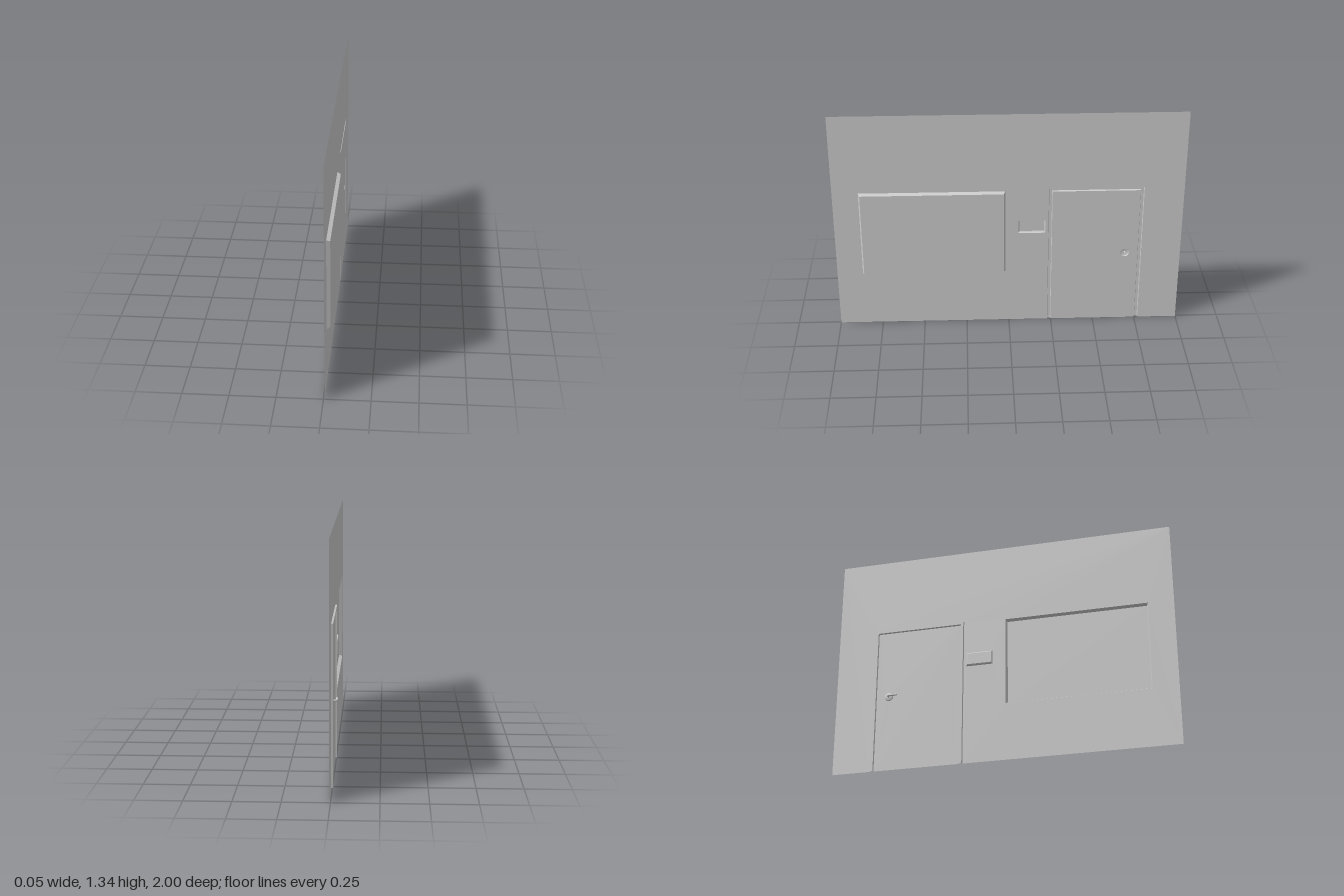
import * as THREE from 'three';

// Built in the wall's own plane: x along the wall, y up, z out of the door side.
const WALL = -0.006;
const material = new THREE.MeshStandardMaterial({ color: 0xcccccc, side: THREE.DoubleSide });

const SIGN = { x0: -0.21, x1: -0.055, y0: 0.59, y1: 0.67 };
const WINDOW = { x0: 0.02, x1: 0.852, y0: 0.338, y1: 0.863 };
const FRAME = { x0: -0.772, x1: -0.228, y1: 0.877 };
const FRAME_WIDTH = 0.021;
const HANDLE = { x: -0.676, y: 0.448, r: 0.025 };

// Skins a list of matching cross-section loops with flat faces
function loft(rows, closed) {
  const pos = [];
  for (let r = 0; r + 1 < rows.length; r++) {
    const a = rows[r], b = rows[r + 1], n = a.length;
    for (let i = 0; i < (closed ? n : n - 1); i++) {
      const j = (i + 1) % n;
      pos.push(...a[i], ...a[j], ...b[j], ...a[i], ...b[j], ...b[i]);
    }
  }
  const g = new THREE.BufferGeometry();
  g.setAttribute('position', new THREE.Float32BufferAttribute(pos, 3));
  g.computeVertexNormals();
  return g;
}

const corners = (r, inset, z) => [
  [r.x0 + inset, r.y0 + inset, z], [r.x1 - inset, r.y0 + inset, z],
  [r.x1 - inset, r.y1 - inset, z], [r.x0 + inset, r.y1 - inset, z],
];
const doorway = (inset, z) => [
  [FRAME.x0 + inset, 0, z], [FRAME.x0 + inset, FRAME.y1 - inset, z],
  [FRAME.x1 - inset, FRAME.y1 - inset, z], [FRAME.x1 - inset, 0, z],
];
const outline = (pts) => pts.map(([x, y]) => new THREE.Vector2(x, y));

function sheet(pts, holes) {
  const shape = new THREE.Shape(outline(pts));
  for (const h of holes) shape.holes.push(h);
  return new THREE.ShapeGeometry(shape, 16).translate(0, 0, WALL);
}

export function createModel() {
  const model = new THREE.Group();
  const room = new THREE.Group();
  room.name = 'wallAssembly';
  room.rotation.y = -Math.PI / 2;
  model.add(room);

  const add = (name, geometry, parent = room) => {
    const mesh = new THREE.Mesh(geometry, material);
    mesh.name = name;
    parent.add(mesh);
    return mesh;
  };

  // Thin wall cut around the doorway, window and sign
  add('wall', sheet(
    [[-1, 0], ...doorway(0, 0), [1, 0], [1, 1.337], [-1, 1.337]],
    [WINDOW, SIGN].map((r) => new THREE.Path(outline(corners(r, 0, 0)))),
  ));

  // Window recess, sunk into the far side of the wall
  const pane = corners(WINDOW, 0.009, -0.026);
  add('windowReveal', loft([corners(WINDOW, 0, WALL), pane], true));
  add('windowPane', loft([[pane[0], pane[1]], [pane[3], pane[2]]], false));

  // Raised sign plate with bevelled edge
  const plate = corners(SIGN, 0.007, 0.007);
  add('signEdge', loft([corners(SIGN, 0, WALL), corners(SIGN, 0.002, 0.004), plate], true));
  add('signPlate', loft([[plate[0], plate[1]], [plate[3], plate[2]]], false));

  // Door leaf with a hole behind the handle
  const hole = new THREE.Path();
  hole.absarc(HANDLE.x, HANDLE.y, HANDLE.r, 0, Math.PI * 2, true);
  add('door', sheet(doorway(FRAME_WIDTH, 0), [hole]));

  // Mitred door frame, a hollow channel
  add('doorFrame', loft([
    doorway(0, WALL), doorway(0.003, 0.004),
    doorway(FRAME_WIDTH - 0.003, 0.004), doorway(FRAME_WIDTH, WALL),
  ], false));

  // Door handle: round rosette, bent lever and rounded tip
  const handle = new THREE.Group();
  handle.name = 'doorHandle';
  handle.position.set(HANDLE.x, HANDLE.y, WALL);
  room.add(handle);
  const profile = [[HANDLE.r, 0], [0.024, 0.005], [0.021, 0.007], [0.012, 0.008], [0.006, 0.009]];
  add('rosette', new THREE.LatheGeometry(outline(profile), 24).rotateX(Math.PI / 2), handle);

  const V = (x, z) => new THREE.Vector3(x, 0, z);
  const path = new THREE.CurvePath();
  path.add(new THREE.LineCurve3(V(0, 0.007), V(0, 0.018)));
  path.add(new THREE.QuadraticBezierCurve3(V(0, 0.018), V(0, 0.0265), V(0.009, 0.0265)));
  path.add(new THREE.LineCurve3(V(0.009, 0.0265), V(0.051, 0.025)));
  add('lever', new THREE.TubeGeometry(path, 32, 0.0055, 12), handle);
  add('leverTip', new THREE.SphereGeometry(0.0055, 12, 8), handle).position.copy(V(0.051, 0.025));

  return model;
}
